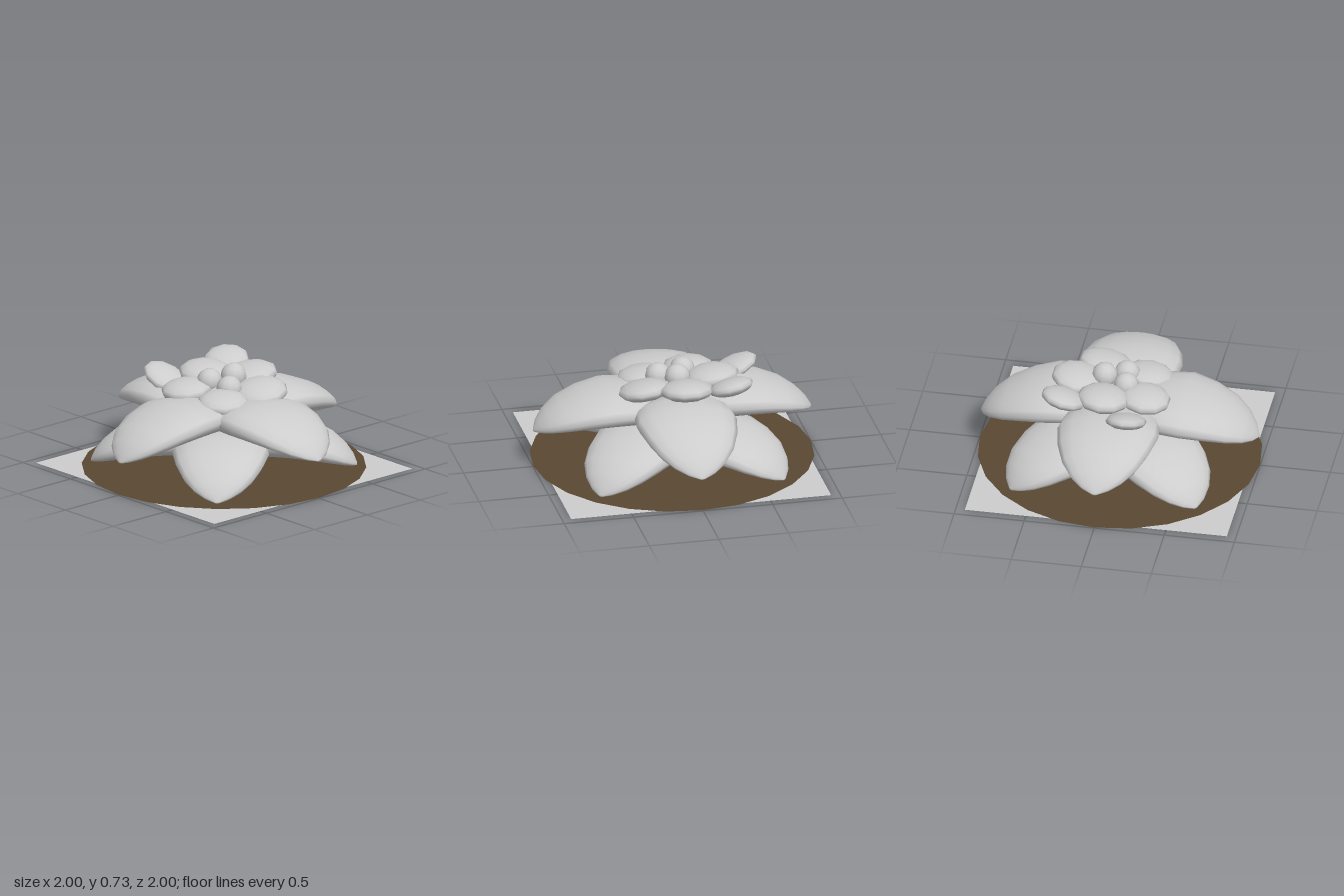
import * as THREE from 'three';

// Petal cross-sections along its length: distance, half width, top, edge, bottom
const SECTIONS = [
  [-0.04, 0.03, 0.33, 0.30, 0.28],
  [0.03, 0.13, 0.44, 0.36, 0.28],
  [0.15, 0.26, 0.53, 0.42, 0.305],
  [0.30, 0.34, 0.565, 0.45, 0.32],
  [0.48, 0.36, 0.565, 0.445, 0.315],
  [0.65, 0.325, 0.52, 0.41, 0.295],
  [0.80, 0.265, 0.455, 0.36, 0.27],
  [0.90, 0.185, 0.38, 0.31, 0.25],
  [0.96, 0.10, 0.31, 0.27, 0.238],
  [0.99, 0.015, 0.25, 0.24, 0.233],
];
const PIVOT = 0.4;

// Lens-shaped petal pointing along +x, arched down toward the tip
function petalGeometry(ring = 16) {
  const pos = [], index = [];
  for (const [r, w, top, edge, bottom] of SECTIONS) {
    for (let j = 0; j < ring; j++) {
      const a = (j / ring) * Math.PI * 2, s = Math.sin(a);
      const y = edge + (s > 0 ? top - edge : edge - bottom) * s;
      pos.push(r, y - PIVOT, w * Math.cos(a));
    }
  }
  const rows = SECTIONS.length;
  for (let i = 0; i < rows - 1; i++) {
    for (let j = 0; j < ring; j++) {
      const k = (j + 1) % ring;
      const a = i * ring + j, b = a + ring, c = i * ring + k, d = c + ring;
      index.push(a, b, c, b, d, c);
    }
  }
  // Close both ends with fans
  const end = (rows - 1) * ring;
  for (let j = 1; j < ring - 1; j++) {
    index.push(0, j, j + 1, end, end + j + 1, end + j);
  }
  const g = new THREE.BufferGeometry();
  g.setAttribute('position', new THREE.Float32BufferAttribute(pos, 3));
  g.setIndex(index);
  g.computeVertexNormals();
  return g;
}

export function createModel() {
  const root = new THREE.Group();
  root.name = 'flower';
  const petalMat = new THREE.MeshStandardMaterial({ color: 0xcccccc });
  petalMat.name = 'pale grey';
  const groundMat = new THREE.MeshStandardMaterial({ color: 0xcccccc, side: THREE.DoubleSide });
  groundMat.name = 'sheet grey';
  const discMat = new THREE.MeshStandardMaterial({ color: 0x584732, side: THREE.DoubleSide });
  discMat.name = 'earth brown';

  const add = (name, geometry, material, x = 0, y = 0, z = 0) => {
    const m = new THREE.Mesh(geometry, material);
    m.name = name;
    m.position.set(x, y, z);
    root.add(m);
    return m;
  };

  // Square sheet and round disc under the flower
  add('baseSheet', new THREE.PlaneGeometry(1.87, 1.87), groundMat).rotation.x = -Math.PI / 2;
  const disc = add('baseDisc', new THREE.CircleGeometry(1, 24), discMat, 0, 0.005, 0);
  disc.rotation.x = -Math.PI / 2;

  // Four upper petals on the axes, four lower ones on the diagonals
  const petal = petalGeometry();
  for (let i = 0; i < 4; i++) {
    const sideways = i % 2 === 0;
    const upper = add('upperPetal', petal, petalMat, 0, sideways ? PIVOT - 0.02 : PIVOT, 0);
    upper.rotation.set(i === 3 ? 0.05 : 0, (i * Math.PI) / 2, sideways ? 0.06 : 0, 'YXZ');
    const lower = add('lowerPetal', petal, petalMat, 0, PIVOT - 0.21, 0);
    lower.rotation.y = Math.PI / 4 + (i * Math.PI) / 2;
    lower.scale.set(0.945, 1, 0.945);
  }

  // Flattened inner petals: x, y, z, radii x y z, tilt about x, tilt about z
  const ball = new THREE.SphereGeometry(1, 10, 8);
  const blob = (name, x, y, z, rx, ry, rz, tx = 0, tz = 0) => {
    const m = add(name, ball, petalMat, x, y, z);
    m.scale.set(rx, ry, rz);
    m.rotation.set(tx, 0, tz);
  };
  blob('innerPetal', -0.04, 0.61, -0.29, 0.19, 0.07, 0.19, 0.15, 0);
  blob('innerPetal', 0.23, 0.575, -0.14, 0.19, 0.07, 0.195, 0.18, -0.12);
  blob('innerPetal', 0.18, 0.55, 0.17, 0.18, 0.065, 0.18, 0.1, -0.1);
  blob('innerPetal', -0.16, 0.57, 0.21, 0.18, 0.07, 0.18, 0.1, 0);
  blob('innerPetal', -0.27, 0.61, -0.07, 0.195, 0.075, 0.185, 0.08, -0.1);
  blob('looseInnerPetal', -0.35, 0.63, -0.34, 0.16, 0.06, 0.16, 0.25, -0.2);
  blob('looseInnerPetal', -0.47, 0.57, 0.13, 0.18, 0.055, 0.145, 0, -0.4);

  // Core filling the middle and the three round stamens
  blob('core', 0, 0.5, 0, 0.2, 0.1, 0.2);
  blob('stamen', -0.015, 0.64, -0.105, 0.092, 0.092, 0.092);
  blob('stamen', 0.095, 0.6, 0.035, 0.092, 0.092, 0.092);
  blob('stamen', -0.085, 0.62, 0.06, 0.09, 0.09, 0.09);
  return root;
}
